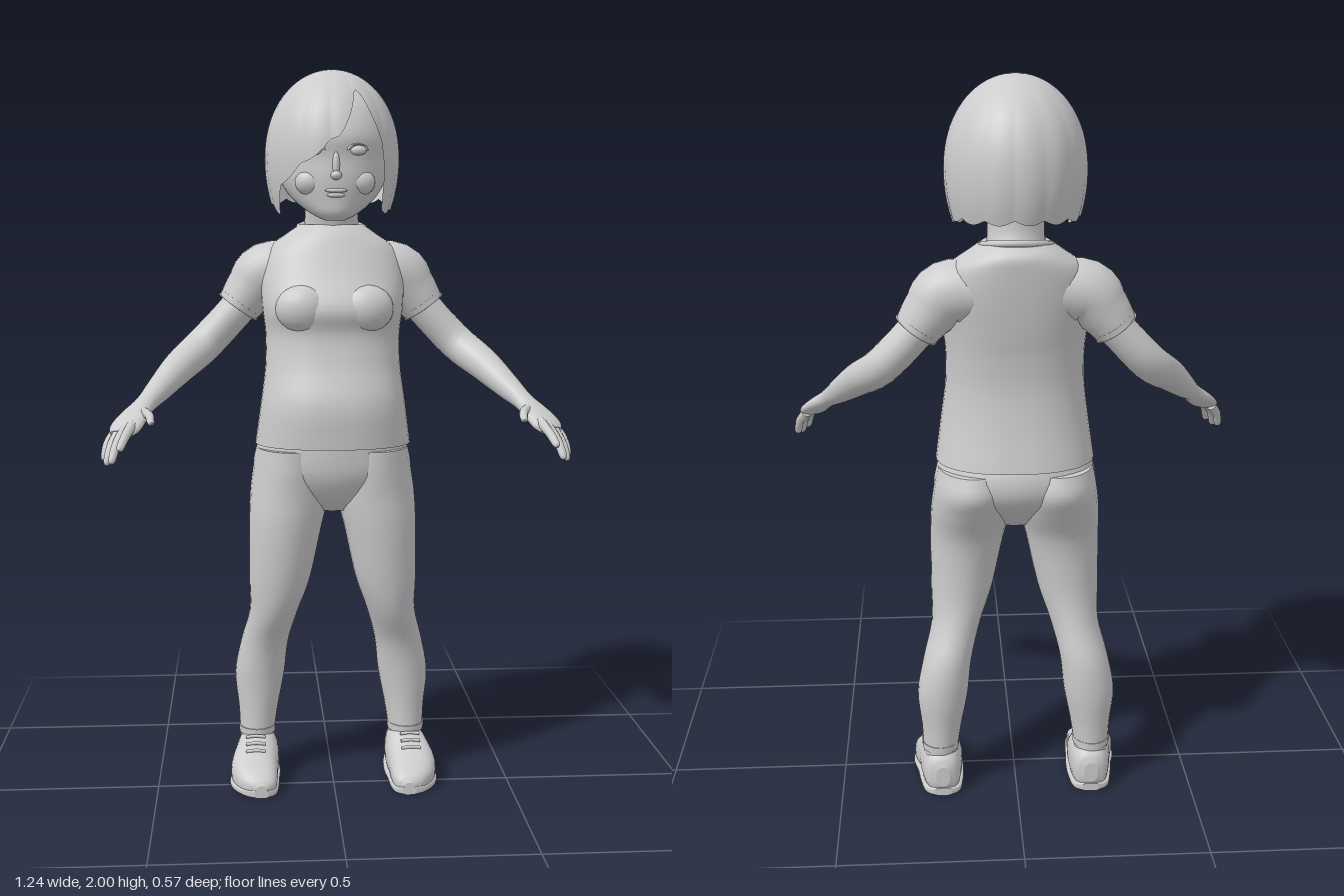
import * as THREE from 'three';

const V = (x, y, z) => new THREE.Vector3(x, y, z);
const clay = new THREE.MeshStandardMaterial({ color: 0xcccccc });
clay.name = 'light grey';
clay.side = THREE.DoubleSide;

const AXES = {
  up: [V(1, 0, 0), V(0, 0, -1)],
  down: [V(1, 0, 0), V(0, 0, 1)],
  forward: [V(1, 0, 0), V(0, 1, 0)],
};

// Smooth skin through keys [x, y, z, halfWidth, halfDepth]; without axes, rings follow the path
function loft(keys, axes, { n = 28, power = 1, steps = 4, shape } = {}) {
  const path = new THREE.CatmullRomCurve3(keys.map(k => V(k[0], k[1], k[2])), false, 'catmullrom', 0.5);
  const size = new THREE.CatmullRomCurve3(keys.map(k => V(k[3], k[4] ?? k[3], 0)), false, 'catmullrom', 0.5);
  const pos = [], idx = [], m = (keys.length - 1) * steps;
  const pw = c => Math.sign(c) * Math.abs(c) ** power;
  const ring = t => {
    const c = path.getPoint(t), s = size.getPoint(t);
    let [u, v] = axes ?? [];
    if (!u) {
      const d = path.getTangent(t);
      u = V(0, 1, 0).cross(d).normalize();
      v = d.clone().cross(u);
    }
    for (let j = 0; j < n; j++) {
      const a = j / n * Math.PI * 2;
      const p = c.clone().addScaledVector(u, pw(Math.cos(a)) * s.x).addScaledVector(v, pw(Math.sin(a)) * s.y);
      if (shape) shape(p);
      pos.push(p.x, p.y, p.z);
    }
    return c;
  };
  for (let i = 0; i <= m; i++) ring(i / m);
  for (let i = 0; i < m; i++) for (let j = 0; j < n; j++) {
    const a = i * n + j, b = i * n + (j + 1) % n;
    idx.push(a, b, b + n, a, b + n, a + n);
  }
  // end caps with their own corners
  for (const t of [0, 1]) {
    const start = pos.length / 3, c = ring(t);
    if (shape) shape(c);
    pos.push(c.x, c.y, c.z);
    for (let j = 0; j < n; j++) {
      const a = start + j, b = start + (j + 1) % n;
      idx.push(...(t ? [a, b, start + n] : [b, a, start + n]));
    }
  }
  return surface(pos, idx);
}

function surface(pos, idx) {
  const g = new THREE.BufferGeometry();
  g.setAttribute('position', new THREE.Float32BufferAttribute(pos, 3));
  g.setIndex(idx);
  g.computeVertexNormals();
  return g;
}

// Bob hair: a domed shell whose lower edge sweeps around the face (angle 0 is the front)
function hairShell() {
  const edge = [[-3.15, 1.65], [-1.6, 1.64], [-1.15, 1.61], [-0.95, 1.68], [-0.39, 1.75], [0.05, 1.81],
    [0.42, 1.93], [0.5, 1.92], [0.75, 1.79], [0.88, 1.62], [1.2, 1.61], [1.7, 1.64], [3.15, 1.65]];
  const edgeAt = a => {
    const i = Math.max(1, edge.findIndex(e => e[0] >= a)), [p, q] = [edge[i - 1], edge[i]];
    return THREE.MathUtils.lerp(p[1], q[1], (a - p[0]) / (q[0] - p[0]));
  };
  const pos = [], idx = [], n = 160, m = 24;
  for (let i = 0; i <= m; i++) for (let j = 0; j < n; j++) {
    const a = (j / n * 2 - 1) * Math.PI, lock = Math.abs(Math.sin(a * 7 + 0.6));
    const s = i / m, bottom = edgeAt(a) + 0.012 * (1 - lock);
    const h = (2 - bottom) * s ** 1.7 / 0.4;
    let r = Math.sqrt(1 - Math.max(0, 1 - h / 0.6) ** 2.2);
    if (h > 0.6) r *= 1 - 1.1 * (h - 0.6) ** 2;
    r *= 0.985 + 0.02 * lock * s;
    pos.push(0.184 * r * Math.sin(a), 2 - 0.4 * h, -0.08 + 0.21 * r * Math.cos(a));
    if (i < m) {
      const p = i * n + j, q = i * n + (j + 1) % n;
      idx.push(p, p + n, q, q, p + n, q + n);
    }
  }
  return surface(pos, idx);
}

export function createModel() {
  const model = new THREE.Group();
  model.name = 'child';
  const add = (name, geometry, x = 0, y = 0, z = 0) => {
    const mesh = new THREE.Mesh(geometry, clay);
    mesh.name = name;
    mesh.position.set(x, y, z);
    model.add(mesh);
    return mesh;
  };
  const blob = (name, x, y, z, a, b, c) =>
    add(name, new THREE.SphereGeometry(1, 20, 14), x, y, z).scale.set(a, b, c);

  // Head, neck and hair
  add('head', loft([[0, 1.595, 0.05, 0.025, 0.025], [0, 1.612, 0.035, 0.06, 0.06], [0, 1.65, -0.01, 0.108, 0.11],
    [0, 1.7, -0.04, 0.142, 0.145], [0, 1.76, -0.06, 0.155, 0.163], [0, 1.82, -0.07, 0.155, 0.177],
    [0, 1.9, -0.08, 0.125, 0.14], [0, 1.95, -0.08, 0.06, 0.06]], AXES.up, { n: 40 }));
  add('neck', loft([[0, 1.5, -0.12, 0.09, 0.085], [0, 1.57, -0.105, 0.078, 0.082], [0, 1.62, -0.09, 0.074, 0.08],
    [0, 1.7, -0.08, 0.08, 0.09]], AXES.up));
  add('hair', hairShell());

  // Face
  blob('noseTip', 0, 1.712, 0.106, 0.015, 0.012, 0.019);
  blob('noseBridge', 0, 1.74, 0.1, 0.01, 0.035, 0.012);
  blob('upperLip', 0, 1.673, 0.099, 0.03, 0.006, 0.01);
  blob('lowerLip', 0, 1.661, 0.096, 0.025, 0.007, 0.011);
  blob('chin', 0, 1.622, 0.075, 0.03, 0.02, 0.022);
  for (const s of [-1, 1]) {
    blob('eye', s * 0.057, 1.777, 0.092, 0.024, 0.013, 0.012);
    const lid = add('eyelid', new THREE.TorusGeometry(0.026, 0.004, 6, 24, Math.PI), s * 0.057, 1.777, 0.098);
    lid.scale.y = 0.6;
    lid.rotation.y = s * 0.3;
    blob('cheek', s * 0.065, 1.695, 0.062, 0.042, 0.035, 0.032);
  }

  // Shirt
  add('shirtBody', loft([[0, 0.985, -0.048, 0.216, 0.172], [0, 1.1, -0.035, 0.2, 0.163], [0, 1.2, -0.046, 0.187, 0.142],
    [0, 1.29, -0.057, 0.186, 0.138], [0, 1.36, -0.055, 0.194, 0.153], [0, 1.45, -0.085, 0.198, 0.137],
    [0, 1.52, -0.105, 0.175, 0.125], [0, 1.56, -0.115, 0.125, 0.115], [0, 1.585, -0.115, 0.088, 0.092]],
  AXES.up, { n: 44, power: 0.88 }));
  const collar = add('collar', new THREE.TorusGeometry(0.09, 0.009, 8, 40), 0, 1.575, -0.11);
  collar.rotation.x = Math.PI / 2 + 0.2;

  // Hips
  add('hips', loft([[0, 0.795, -0.05, 0.06, 0.05], [0, 0.84, -0.055, 0.15, 0.1], [0, 0.9, -0.068, 0.218, 0.143],
    [0, 0.97, -0.068, 0.213, 0.15], [0, 1.05, -0.05, 0.185, 0.13]], AXES.up, { n: 40 }));

  for (const s of [-1, 1]) {
    const side = s > 0 ? 'left' : 'right';
    const flip = keys => keys.map(([x, ...rest]) => [s * x, ...rest]);

    blob(side + 'Chest', s * 0.085, 1.36, 0.045, 0.075, 0.065, 0.055);
    add(side + 'Sleeve', loft(flip([[0.09, 1.46, -0.115, 0.09, 0.08], [0.18, 1.45, -0.118, 0.085, 0.086],
      [0.225, 1.405, -0.12, 0.076, 0.073], [0.262, 1.355, -0.12, 0.07, 0.06]])));
    add(side + 'SleeveHem', loft(flip([[0.252, 1.369, -0.12, 0.073, 0.063], [0.262, 1.355, -0.12, 0.073, 0.063]]),
      null, { steps: 1 }));

    // Arm and hand
    add(side + 'Arm', loft(flip([[0.2, 1.43, -0.12, 0.055], [0.27, 1.345, -0.12, 0.055, 0.05],
      [0.355, 1.255, -0.105, 0.053, 0.05], [0.42, 1.2, -0.03, 0.047, 0.045], [0.475, 1.145, 0.05, 0.036, 0.034],
      [0.508, 1.112, 0.1, 0.03, 0.025], [0.535, 1.085, 0.14, 0.042, 0.022], [0.556, 1.06, 0.175, 0.046, 0.019],
      [0.566, 1.045, 0.195, 0.034, 0.012]])));
    const fingers = {
      Thumb: [[0.52, 1.098, 0.13], [0.495, 1.092, 0.175], [0.485, 1.078, 0.235]],
      IndexFinger: [[0.538, 1.068, 0.185], [0.552, 1.045, 0.235], [0.565, 1.015, 0.283]],
      MiddleFinger: [[0.555, 1.06, 0.185], [0.575, 1.025, 0.225], [0.588, 0.978, 0.262]],
      RingFinger: [[0.57, 1.055, 0.175], [0.59, 1.02, 0.205], [0.603, 0.97, 0.235]],
      LittleFinger: [[0.582, 1.05, 0.16], [0.602, 1.02, 0.18], [0.612, 0.977, 0.203]],
    };
    for (const [name, [a, b, c]] of Object.entries(fingers)) {
      const mid = a.map((v, i) => b[i] + (c[i] - b[i]) * 0.8);
      add(side + name, loft(flip([[...a, 0.014], [...b, 0.012], [...mid, 0.01], [...c, 0.003]]), null, { n: 10 }));
    }

    // Leg
    add(side + 'Leg', loft(flip([[0.112, 0.97, -0.07, 0.1, 0.14], [0.115, 0.91, -0.078, 0.108, 0.147],
      [0.12, 0.84, -0.062, 0.112, 0.126], [0.133, 0.75, -0.041, 0.102, 0.102], [0.15, 0.6, -0.043, 0.086, 0.088],
      [0.167, 0.5, -0.062, 0.069, 0.084], [0.193, 0.4, -0.1, 0.068, 0.077], [0.208, 0.3, -0.112, 0.071, 0.07],
      [0.213, 0.2, -0.11, 0.057, 0.061], [0.217, 0.12, -0.107, 0.049, 0.058], [0.217, 0.08, -0.107, 0.045, 0.05]]),
    AXES.down));
    add(side + 'TrouserCuff', loft(flip([[0.217, 0.145, -0.107, 0.053, 0.062], [0.217, 0.125, -0.107, 0.052, 0.061]]),
      AXES.down, { steps: 1 }));

    // Shoe, flattened underneath, on a thin sole
    const shoe = [[0.212, 0.06, -0.182, 0.02, 0.03], [0.213, 0.06, -0.165, 0.046, 0.06], [0.215, 0.06, -0.11, 0.058, 0.075],
      [0.218, 0.06, -0.055, 0.063, 0.072], [0.226, 0.045, 0, 0.067, 0.058], [0.222, 0.035, 0.05, 0.06, 0.042],
      [0.212, 0.028, 0.09, 0.042, 0.026], [0.208, 0.025, 0.105, 0.015, 0.01]];
    add(side + 'Shoe', loft(flip(shoe), AXES.forward, { power: 0.8, shape: p => { p.y = Math.max(p.y, 0.012); } }));
    add(side + 'Sole', loft(flip(shoe.map(([x, , z, w]) => [x, 0.012, z, w + 0.004, 0.012])), AXES.forward, { power: 0.5 }));
    for (const z of [-0.035, -0.015, 0.005])
      add(side + 'Lace', loft([[s * 0.195, 0.103 - z * 0.7, z, 0.005], [s * 0.222, 0.106 - z * 0.7, z, 0.005],
        [s * 0.25, 0.103 - z * 0.7, z, 0.005]], null, { n: 8 }));
  }
  return model;
}
